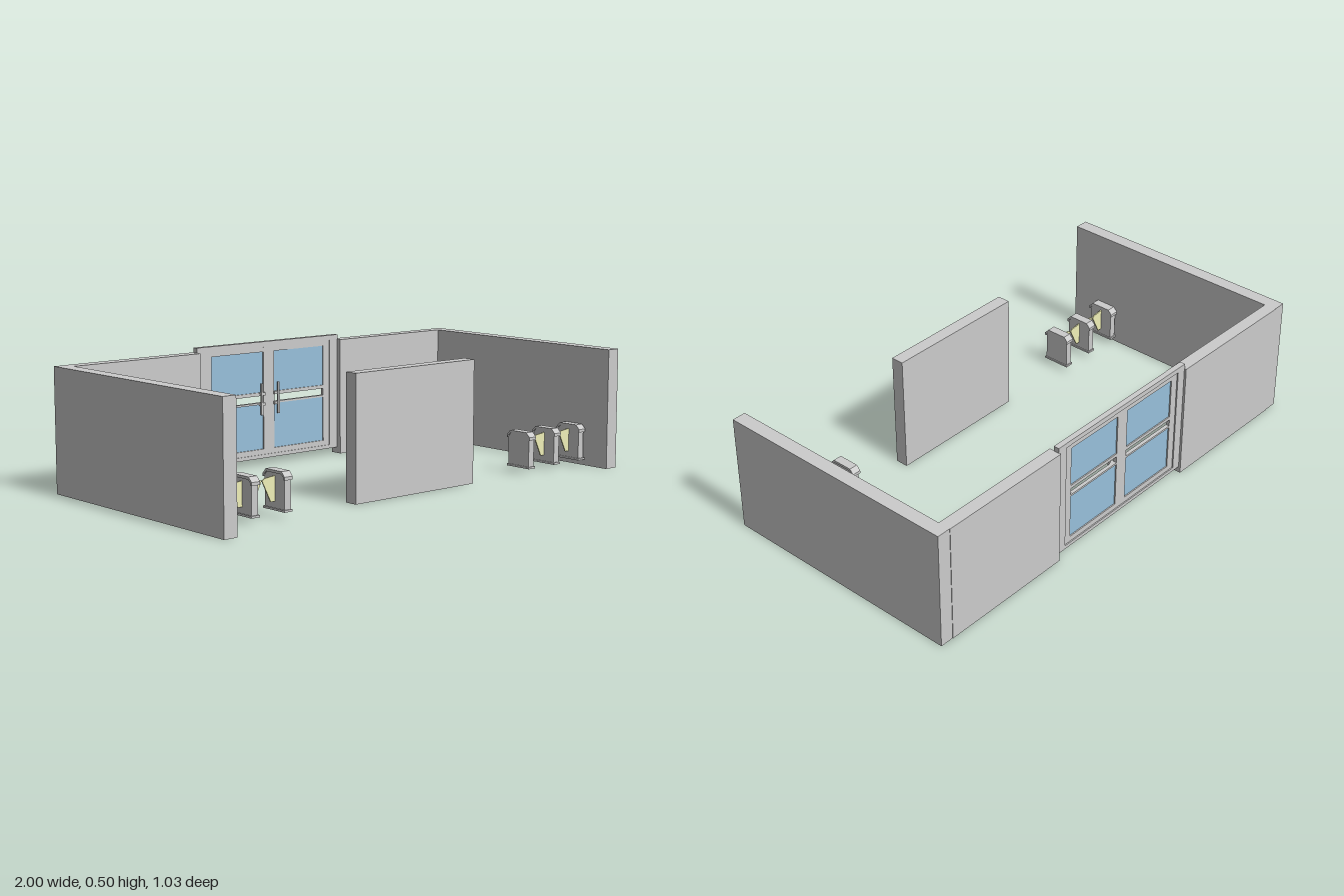
import * as THREE from 'three';

const grey = new THREE.MeshStandardMaterial({ color: 0xcccccc, flatShading: true });
const blue = new THREE.MeshStandardMaterial({ color: 0x98c0db });
const yellow = new THREE.MeshStandardMaterial({ color: 0xf0f0b8, side: THREE.DoubleSide });

// Box given by its lower and upper corners
function box(parent, name, [x0, y0, z0], [x1, y1, z1], material = grey) {
  const mesh = new THREE.Mesh(new THREE.BoxGeometry(x1 - x0, y1 - y0, z1 - z0), material);
  mesh.position.set((x0 + x1) / 2, (y0 + y1) / 2, (z0 + z1) / 2);
  mesh.name = name;
  parent.add(mesh);
  return mesh;
}

function polygon(points) {
  return new THREE.Shape(points.map(([x, y]) => new THREE.Vector2(x, y)));
}

// Side profile (z, y) extruded across x, centred on x = 0
function slab(parent, name, points, width) {
  const geometry = new THREE.ExtrudeGeometry(polygon(points), { depth: width, bevelEnabled: false });
  geometry.translate(0, 0, -width / 2).rotateY(-Math.PI / 2);
  const mesh = new THREE.Mesh(geometry, grey);
  mesh.name = name;
  parent.add(mesh);
}

// One glazed leaf; side is -1 or 1 away from the meeting line
function doorLeaf(side) {
  const leaf = new THREE.Group();
  leaf.name = side < 0 ? 'rightDoorLeaf' : 'leftDoorLeaf';
  const part = (name, a, b, y0, y1, z0, z1, material) =>
    box(leaf, name, [Math.min(a * side, b * side), y0, z0], [Math.max(a * side, b * side), y1, z1], material);
  part('innerStile', 0, 0.028, 0.04, 0.485, -0.503, -0.488);
  part('outerStile', 0.292, 0.325, 0.04, 0.485, -0.503, -0.488);
  part('bottomRail', 0.028, 0.292, 0.04, 0.062, -0.503, -0.488);
  part('topRail', 0.028, 0.292, 0.463, 0.485, -0.503, -0.488);
  part('upperMiddleRail', 0.028, 0.292, 0.283, 0.297, -0.503, -0.488);
  part('lowerMiddleRail', 0.028, 0.292, 0.247, 0.255, -0.503, -0.488);
  part('lowerGlass', 0.028, 0.292, 0.062, 0.247, -0.498, -0.493, blue);
  part('upperGlass', 0.028, 0.292, 0.297, 0.463, -0.498, -0.493, blue);
  // Pull handle on two short stand-offs
  part('handleBar', 0.039, 0.048, 0.205, 0.335, -0.484, -0.477);
  for (const y of [0.243, 0.285]) part('handleMount', 0.024, 0.048, y, y + 0.012, -0.496, -0.48);
  leaf.position.x = 0.005;
  return leaf;
}

// Thin swinging flap that tapers towards its lower edge
const flapShape = polygon([[0, 0.057], [0.019, 0.057], [0.058, 0.138], [0.045, 0.145], [0, 0.15]]);
const flapGeometry = new THREE.ExtrudeGeometry(flapShape, { depth: 0.005, bevelEnabled: false });
flapGeometry.translate(0, 0, -0.0025);

function gateCabinet(x, flapSides) {
  const gate = new THREE.Group();
  gate.name = 'gateCabinet';
  slab(gate, 'base', [[-0.06, 0.025], [0.06, 0.025], [0.06, 0.033], [-0.06, 0.033]], 0.037);
  slab(gate, 'body', [[-0.055, 0.033], [0.055, 0.033], [0.055, 0.145], [0.042, 0.16], [-0.042, 0.16], [-0.055, 0.145]], 0.029);
  slab(gate, 'cap', [
    [0.061, 0.14], [0.061, 0.152], [0.044, 0.17], [-0.044, 0.17], [-0.061, 0.152], [-0.061, 0.14],
    [-0.055, 0.14], [-0.055, 0.148], [-0.041, 0.16], [0.041, 0.16], [0.055, 0.148], [0.055, 0.14],
  ], 0.037);
  for (const side of flapSides) {
    const flap = new THREE.Mesh(flapGeometry, yellow);
    flap.name = 'flap';
    flap.position.x = side * 0.0145;
    if (side < 0) flap.rotation.y = Math.PI;
    gate.add(flap);
  }
  gate.position.set(x, 0, 0.343);
  return gate;
}

export function createModel() {
  const model = new THREE.Group();
  model.name = 'entranceHall';
  const top = 0.485;

  // Walls around three sides
  box(model, 'rightWall', [-1, 0, -0.515], [-0.943, top, 0.515]);
  box(model, 'leftWall', [0.943, 0, -0.515], [1, top, 0.515]);
  box(model, 'backWallRight', [-0.943, 0, -0.517], [-0.358, top, -0.465]);
  box(model, 'backWallLeft', [0.372, 0, -0.517], [0.943, top, -0.465]);

  // Free-standing panel at the front
  box(model, 'frontPanel', [-0.285, 0, 0.32], [0.323, top, 0.373]);

  // Door frame with two leaves
  const door = new THREE.Group();
  door.name = 'entranceDoor';
  box(door, 'frameRight', [-0.36, 0.025, -0.508], [-0.32, 0.505, -0.485]);
  box(door, 'frameLeft', [0.33, 0.025, -0.508], [0.374, 0.505, -0.485]);
  box(door, 'frameHead', [-0.32, top, -0.508], [0.33, 0.505, -0.485]);
  box(door, 'frameSill', [-0.32, 0.025, -0.508], [0.33, 0.04, -0.485]);
  door.add(doorLeaf(-1), doorLeaf(1));
  model.add(door);

  // Two rows of flap gates
  for (const centre of [-0.775, 0.771]) {
    const row = new THREE.Group();
    row.name = centre < 0 ? 'rightGateRow' : 'leftGateRow';
    row.add(
      gateCabinet(centre - 0.147, [1]),
      gateCabinet(centre, [-1, 1]),
      gateCabinet(centre + 0.147, [-1]),
    );
    model.add(row);
  }
  return model;
}
